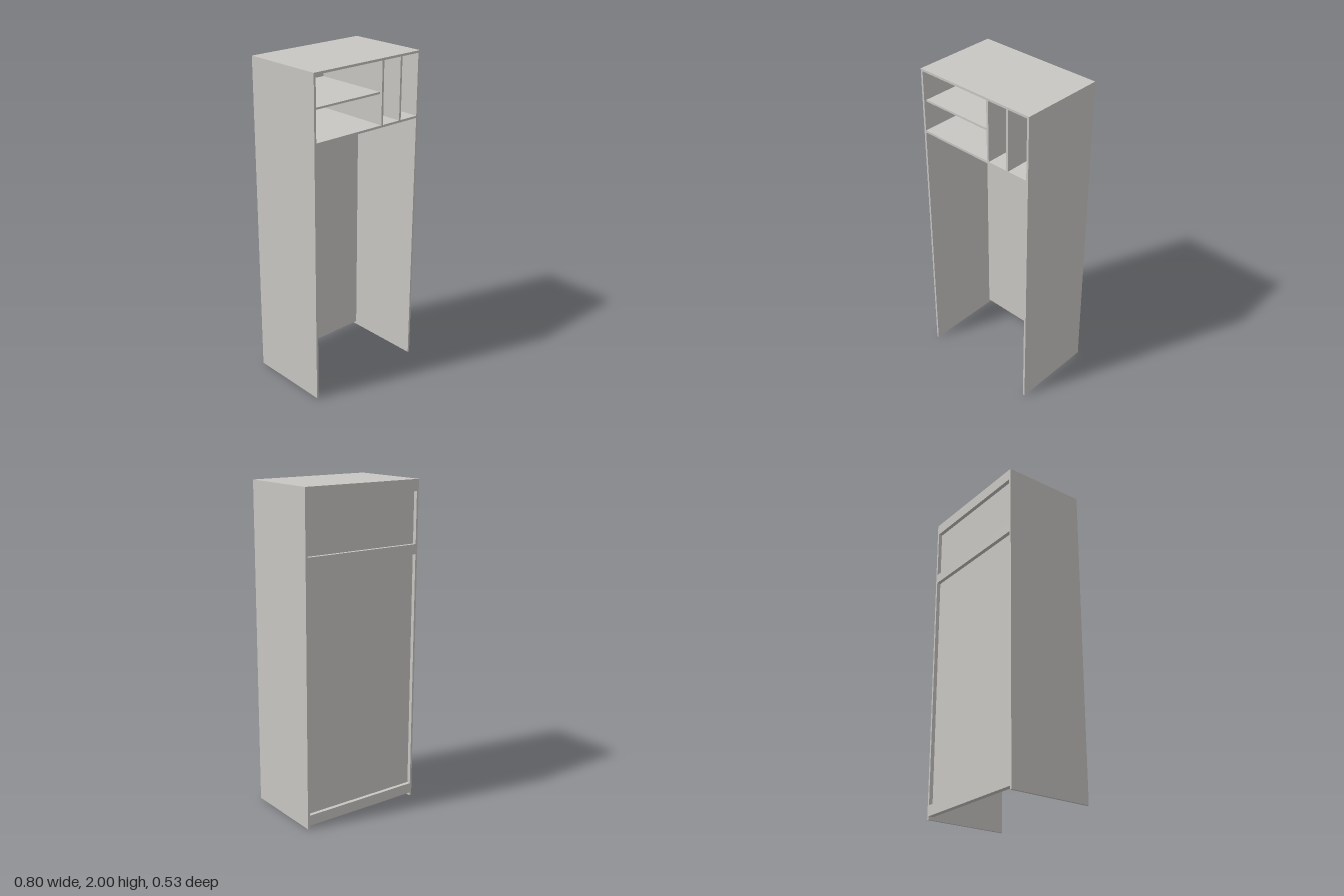
import * as THREE from 'three';

export function createModel() {
  const cabinet = new THREE.Group();
  cabinet.name = 'wardrobe';

  const greyBoard = new THREE.MeshStandardMaterial({ color: 0xc8c6c2 });
  greyBoard.name = 'grey board';

  const W = 0.4, D = 0.265, H = 2, T = 0.0135; // half width, half depth, height, board thickness
  const inner = W - T;
  const panelFront = -0.232, panelBack = -0.241;

  // Board given by its lower and upper corner
  function board(name, x0, x1, y0, y1, z0, z1) {
    const mesh = new THREE.Mesh(new THREE.BoxGeometry(x1 - x0, y1 - y0, z1 - z0), greyBoard);
    mesh.position.set((x0 + x1) / 2, (y0 + y1) / 2, (z0 + z1) / 2);
    mesh.name = name;
    cabinet.add(mesh);
  }

  // Carcass
  board('leftSide', inner, W, 0, H, -D, D);
  board('rightSide', -W, -inner, 0, H, -D, D);
  board('top', -inner, inner, H - T, H, -D, D);
  board('fixedShelf', -inner, inner, 1.6, 1.6 + T, panelFront, D);

  // Back panel, set in behind three rails
  board('backPanel', -inner, inner, 0.02, H - T, panelBack, panelFront);
  const rails = [['bottomRail', 0.02, 0.085], ['middleRail', 1.56, 1.62], ['topRail', 1.93, H - T]];
  for (const [name, y0, y1] of rails) board(name, -inner, inner, y0, y1, -D, panelBack);

  // Upper compartments: two upright dividers and a loose shelf
  for (const x of [0.1, 0.243]) board('divider', x, x + T, 1.6 + T, H - T, panelFront, D);
  board('looseShelf', -inner + 0.003, 0.098, 1.794, 1.806, panelFront, D - 0.015);

  return cabinet;
}
